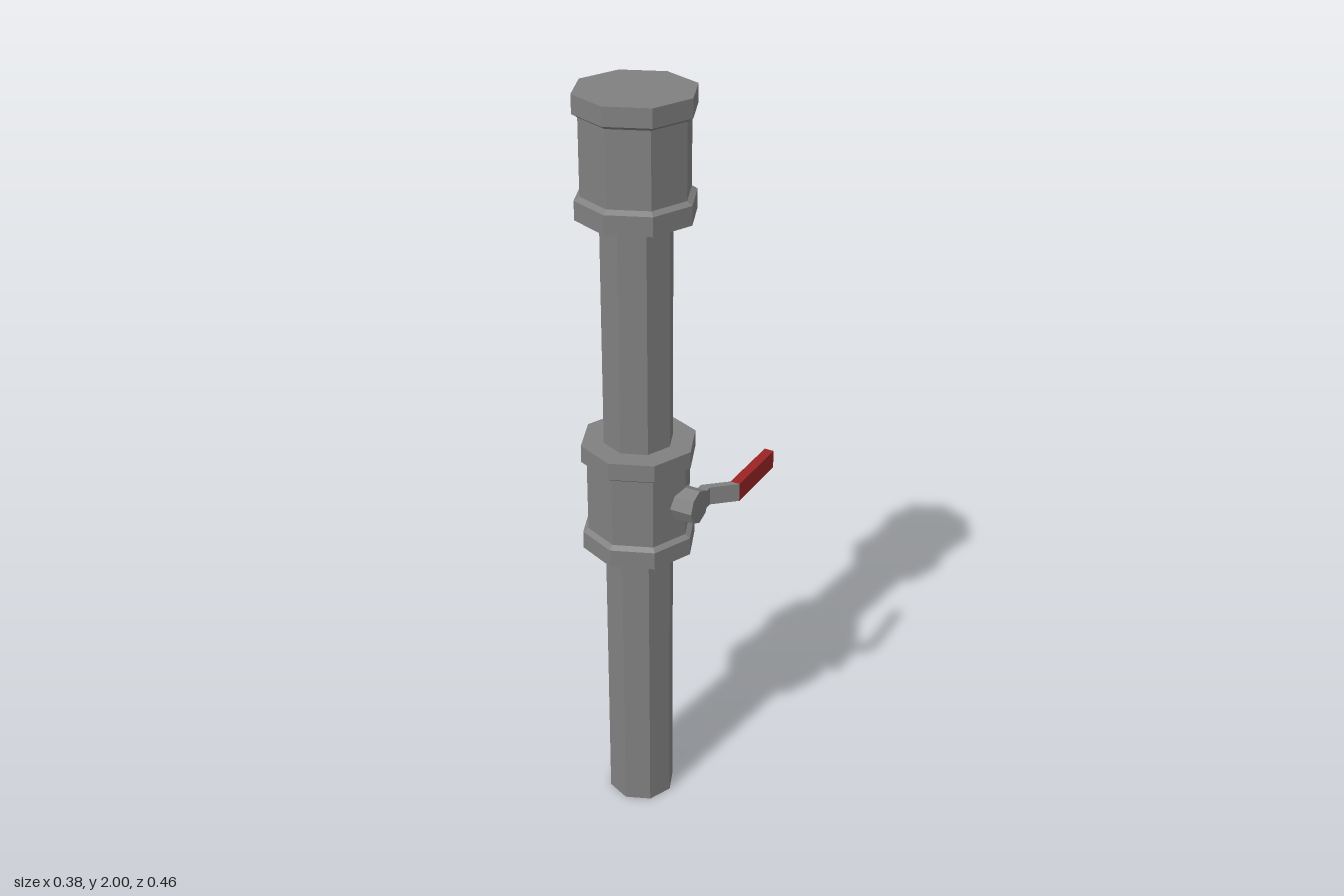
import * as THREE from 'three';

export function createModel() {
  const group = new THREE.Group();
  const steel = new THREE.MeshStandardMaterial({ color: 0x808080, flatShading: true });
  steel.name = 'steel grey';
  const red = new THREE.MeshStandardMaterial({ color: 0x9c2424, flatShading: true });
  red.name = 'handle red';

  const CX = -0.041, CZ = 0.079; // pipe axis
  const SIDES = 8;

  function add(name, geometry, material, x, y, z) {
    const mesh = new THREE.Mesh(geometry, material);
    mesh.name = name;
    mesh.position.set(x, y, z);
    group.add(mesh);
    return mesh;
  }

  // Straight octagonal pipe sections
  function pipe(name, y0, y1) {
    add(name, new THREE.CylinderGeometry(0.09, 0.09, y1 - y0, SIDES), steel, CX, (y0 + y1) / 2, CZ);
  }
  pipe('lowerPipe', 0, 0.81);
  pipe('upperPipe', 1.09, 1.71);

  // Coupling: a body with a rim at each end, joined by short bevels
  const R = 0.149, B = 0.135;
  const profile = [
    [0, 0], [R, 0], [R, 0.048], [B, 0.057],
    [B, 0.245], [R, 0.254], [R, 0.3], [0, 0.3],
  ].map(([r, y]) => new THREE.Vector2(r, y));
  const coupling = new THREE.LatheGeometry(profile, SIDES);
  add('valveBody', coupling, steel, CX, 0.802, CZ);
  add('endCap', coupling, steel, CX, 1.7, CZ);

  // Valve stem pointing sideways out of the valve body
  const stem = add('valveStem', new THREE.CylinderGeometry(0.0455, 0.0455, 0.085, SIDES), steel, 0.0925, 0.951, CZ);
  stem.rotation.z = -Math.PI / 2;

  // Cranked lever arm, drawn in plan as [x, z] and extruded upward
  const H = 0.05, Y = 0.951;
  const plan = [
    [0.105, 0.06], [0.132, 0.06], [0.132, 0.018], [0.189, -0.034],
    [0.163, -0.034], [0.105, 0.018],
  ];
  const arm = new THREE.ExtrudeGeometry(
    new THREE.Shape(plan.map(([x, z]) => new THREE.Vector2(x, -z))),
    { depth: H, bevelEnabled: false }
  );
  arm.rotateX(-Math.PI / 2);
  add('leverArm', arm, steel, 0, Y - H / 2, 0);

  // Red grip with bare steel ends
  add('leverGrip', new THREE.BoxGeometry(0.026, H, 0.196), [red, red, red, red, steel, steel], 0.176, Y, -0.132);

  return group;
}
